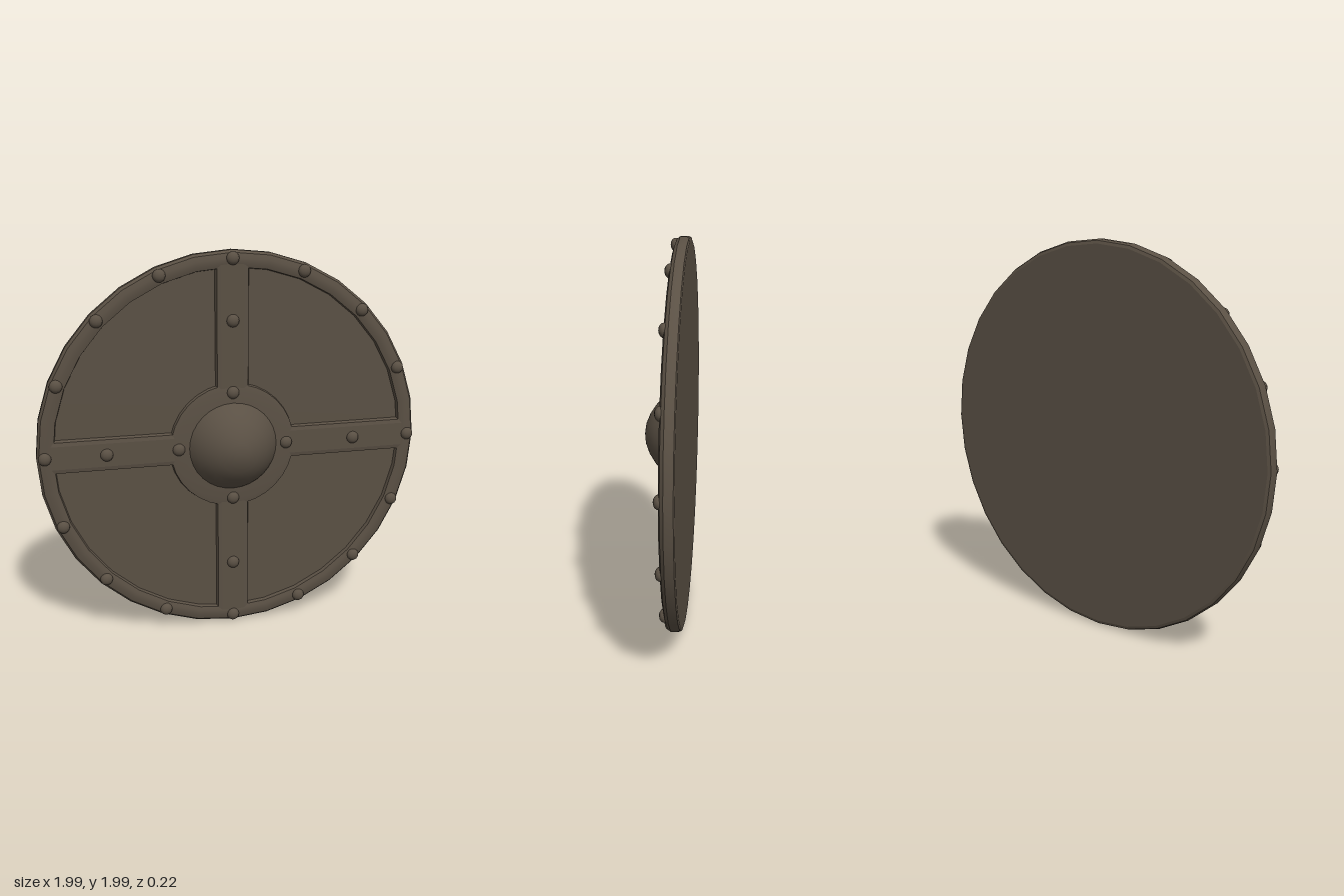
import * as THREE from 'three';
import { toCreasedNormals } from 'three/addons/utils/BufferGeometryUtils.js';

export function createModel() {
  const model = new THREE.Group();
  model.name = 'roundShield';
  const brown = new THREE.MeshStandardMaterial({ color: 0x5a5044 });
  brown.name = 'weathered brown';

  const shield = new THREE.Group();
  shield.name = 'shield';
  shield.position.y = 0.995;
  model.add(shield);

  function add(name, geometry, x = 0, y = 0, z = 0) {
    const mesh = new THREE.Mesh(geometry, brown);
    mesh.name = name;
    mesh.position.set(x, y, z);
    shield.add(mesh);
    return mesh;
  }

  // Turned part from [radius, z] pairs, facing the front
  function turned(name, profile, segments = 32, crease = 0.6) {
    const points = profile.map(([r, z]) => new THREE.Vector2(r, z));
    const geometry = new THREE.LatheGeometry(points, segments).rotateX(Math.PI / 2);
    return add(name, toCreasedNormals(geometry, crease));
  }

  // Board: flat back and recessed front panel
  turned('backBoard', [[0, -0.11], [0.975, -0.11]]);
  turned('frontPanel', [[0.93, -0.066], [0, -0.062]]);

  // Rounded rim
  turned('rim', [[0.975, -0.11], [0.99, -0.105], [0.997, -0.09], [0.997, -0.062],
    [0.985, -0.046], [0.96, -0.038], [0.935, -0.038], [0.915, -0.044], [0.91, -0.068]]);

  // Crossed bands with sloping sides
  function band(name, length) {
    const section = new THREE.Shape([[-0.088, -0.07], [0.088, -0.07], [0.08, -0.043],
      [0.06, -0.039], [-0.06, -0.039], [-0.08, -0.043]].map(([x, y]) => new THREE.Vector2(x, y)));
    const geometry = new THREE.ExtrudeGeometry(section, { depth: length, bevelEnabled: false });
    geometry.translate(0, 0, -length / 2).rotateX(Math.PI / 2).scale(1, 1, 1);
    return add(name, geometry);
  }
  band('verticalBand', 1.86);
  band('horizontalBand', 1.86).rotation.z = Math.PI / 2;

  // Boss flange and central dome
  turned('bossFlange', [[0.33, -0.068], [0.325, -0.042], [0.3, -0.037], [0.21, -0.034]]);
  turned('bossDome', [[0.232, -0.04], [0.222, -0.022], [0.195, 0.012], [0.155, 0.053],
    [0.105, 0.086], [0.055, 0.106], [0, 0.114]], 32, 0.9);

  // Rivets around the rim and along the bands
  const rivet = new THREE.SphereGeometry(0.033, 12, 8).scale(1, 1, 0.72);
  function rivetRing(name, count, radius) {
    for (let i = 0; i < count; i++) {
      const a = (i / count) * Math.PI * 2;
      add(name, rivet, radius * Math.cos(a), radius * Math.sin(a), -0.04);
    }
  }
  rivetRing('rimRivet', 16, 0.957);
  rivetRing('bandRivet', 4, 0.65);
  rivetRing('bossRivet', 4, 0.283);

  return model;
}
